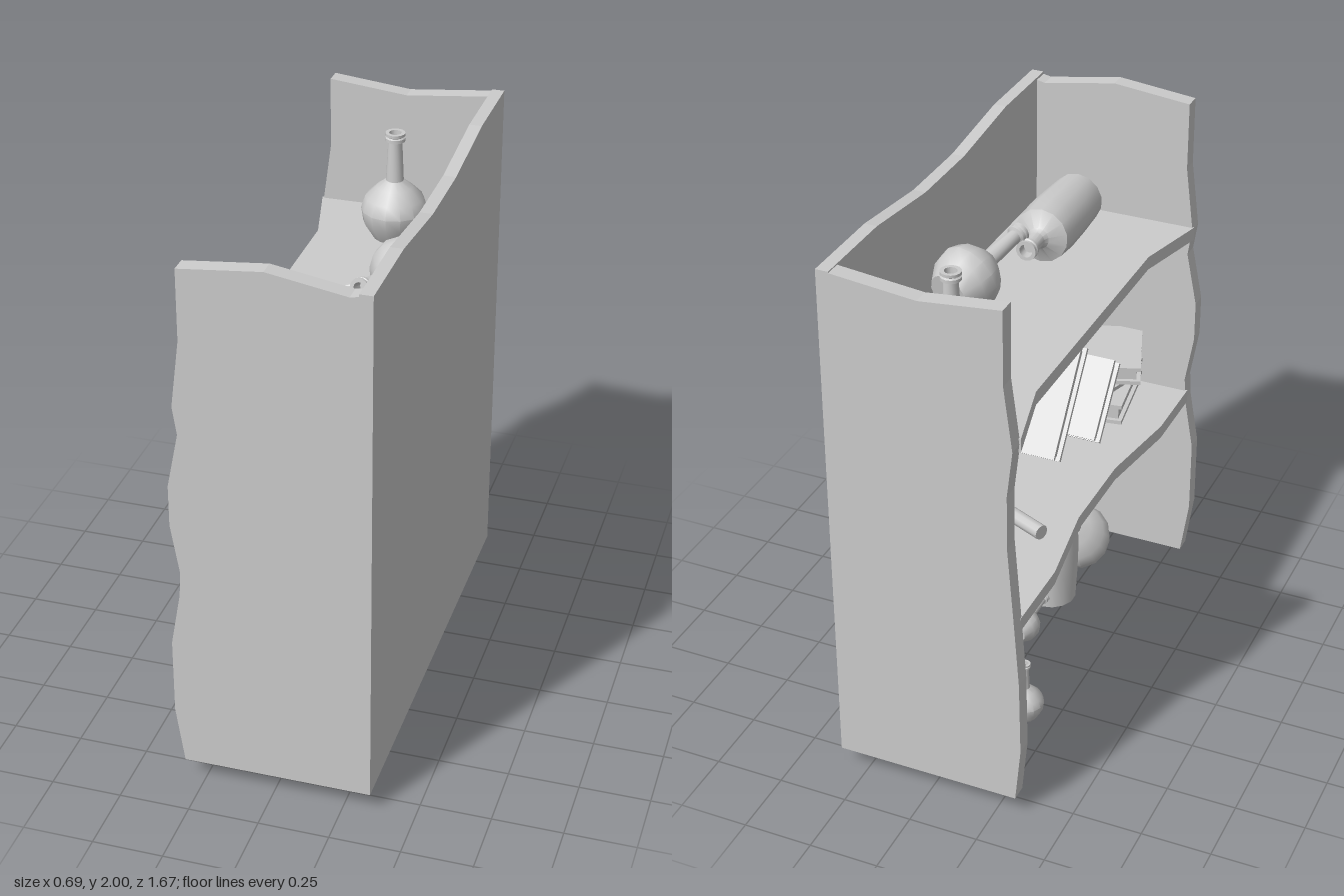
import * as THREE from 'three';
import { toCreasedNormals } from 'three/addons/utils/BufferGeometryUtils.js';

const material = new THREE.MeshStandardMaterial({ color: 0xcccccc });
const v2 = (points) => points.map(([x, y]) => new THREE.Vector2(x, y));

function add(parent, name, geometry) {
  const mesh = new THREE.Mesh(geometry, material);
  mesh.name = name;
  parent.add(mesh);
  return mesh;
}

function slab(points, depth) {
  return new THREE.ExtrudeGeometry(new THREE.Shape(v2(points)), { depth, bevelEnabled: false });
}

function turned(points, sides) {
  return toCreasedNormals(new THREE.LatheGeometry(v2(points), sides), 0.6);
}

// Round-bellied flask, standing on its origin
const flaskGeometry = turned([
  [0, 0], [0.075, 0], [0.112, 0.06], [0.12, 0.11], [0.105, 0.155], [0.065, 0.195],
  [0.032, 0.22], [0.025, 0.365], [0.036, 0.37], [0.036, 0.382], [0.03, 0.386],
  [0.036, 0.39], [0.036, 0.4], [0.022, 0.4], [0.02, 0.36], [0, 0.36],
], 14);

// Tall straight bottle, standing on its origin
const bottleGeometry = turned([
  [0, 0], [0.095, 0], [0.102, 0.13], [0.105, 0.25], [0.1, 0.34], [0.04, 0.365],
  [0.03, 0.38], [0.03, 0.44], [0.037, 0.445], [0.037, 0.455], [0.031, 0.46],
  [0.037, 0.465], [0.037, 0.475], [0.024, 0.475], [0.022, 0.44], [0, 0.44],
], 14);

// Places a vessel by its base centre and the direction its neck points
function vessel(parent, name, geometry, base, dir = [0, 1, 0], scale = 1) {
  const mesh = add(parent, name, geometry);
  mesh.position.set(...base);
  mesh.quaternion.setFromUnitVectors(new THREE.Vector3(0, 1, 0), new THREE.Vector3(...dir).normalize());
  mesh.scale.setScalar(scale);
}

// Closed book lying flat: two covers, a spine and an inset page block
function book(parent, [w, t, l], position, tilt, yaw) {
  const group = new THREE.Group();
  group.name = 'book';
  const cover = 0.015;
  for (const s of [-1, 1]) {
    add(group, 'bookCover', new THREE.BoxGeometry(w, cover, l)).position.y = s * (t - cover) / 2;
  }
  add(group, 'bookPages', new THREE.BoxGeometry(w - 0.03, t - 2 * cover, l - 0.03));
  add(group, 'bookSpine', new THREE.BoxGeometry(cover, t, l)).position.x = (w - cover) / 2;
  group.position.set(...position);
  group.rotation.set(tilt, yaw, 0);
  parent.add(group);
}

export function createModel() {
  const model = new THREE.Group();
  model.name = 'bookcase';

  // Wavy side panels
  const leftSide = [
    [0.345, 0.07], [0.345, 1.97], [0.27, 1.955], [0.15, 1.975], [0, 2], [-0.285, 1.97], [-0.285, 1.72],
    [-0.315, 1.48], [-0.3, 1.38], [-0.34, 1.18], [-0.34, 1.03], [-0.31, 0.85],
    [-0.315, 0.76], [-0.35, 0.56], [-0.35, 0.28], [-0.32, 0.07],
  ];
  const rightSide = [
    [0.345, 0.07], [0.345, 1.97], [0, 1.935], [-0.285, 1.965], [-0.285, 1.7], [-0.315, 1.47],
    [-0.295, 1.3], [-0.295, 1.1], [-0.318, 0.8], [-0.335, 0.56], [-0.34, 0.28], [-0.32, 0.07],
  ];
  add(model, 'sidePanel', slab(leftSide, 0.06)).position.z = 0.773;
  add(model, 'sidePanel', slab(rightSide, 0.06)).position.z = -0.833;

  // Back panel with a dipped top edge
  const back = slab([
    [-0.833, 0.07], [0.833, 0.07], [0.833, 1.97], [0.5, 1.97], [0.15, 1.93],
    [-0.15, 1.93], [-0.5, 1.97], [-0.833, 1.97],
  ], 0.045).rotateY(-Math.PI / 2);
  add(model, 'backPanel', back).position.x = 0.345;

  // Shelves with uneven front edges: [top height, front edge as (x, z)]
  const shelves = [
    [1.49, [[-0.32, -0.78], [-0.25, -0.5], [-0.25, 0.5], [-0.32, 0.78]]],
    [0.8, [[-0.32, -0.78], [-0.32, -0.5], [-0.27, -0.17], [-0.27, 0.17], [-0.32, 0.5], [-0.32, 0.78]]],
  ];
  for (const [top, edge] of shelves) {
    const shelf = slab([...edge, [0.305, 0.78], [0.305, -0.78]], 0.05).rotateX(Math.PI / 2);
    add(model, 'shelf', shelf).position.y = top;
  }

  // Top shelf: one standing flask, a fallen flask and a fallen bottle
  vessel(model, 'standingFlask', flaskGeometry, [0.025, 1.49, -0.54]);
  vessel(model, 'fallenFlask', flaskGeometry, [0.215, 1.575, -0.17], [-0.1, 0.08, 0.38]);
  vessel(model, 'fallenBottle', bottleGeometry, [0.08, 1.595, 0.635], [-0.01, 0.03, -1]);

  // Middle shelf: a stack, two leaning books and a scroll
  book(model, [0.26, 0.08, 0.3], [-0.03, 0.84, 0.58], 0, 0.15);
  book(model, [0.24, 0.07, 0.28], [-0.01, 0.915, 0.6], 0, -0.3);
  book(model, [0.27, 0.07, 0.31], [-0.05, 0.985, 0.61], 0, 0.35);
  book(model, [0.26, 0.08, 0.42], [0.05, 1.0, 0.21], -0.93, 0);
  book(model, [0.24, 0.08, 0.3], [-0.04, 0.945, 0.36], -0.9, 0);
  const scroll = add(model, 'scroll', new THREE.CylinderGeometry(0.027, 0.027, 0.4, 10));
  scroll.rotation.set(0, -0.42, Math.PI / 2);
  scroll.position.set(-0.02, 0.827, -0.26);

  // Bottom level
  vessel(model, 'leaningFlask', flaskGeometry, [0.06, 0.05, 0.68], [-0.08, 0.75, -0.62], 1.08);
  vessel(model, 'standingBottle', bottleGeometry, [0.04, 0.055, 0.32]);
  vessel(model, 'standingBottle', bottleGeometry, [0.14, 0.055, -0.27]);
  vessel(model, 'standingFlask', flaskGeometry, [0.11, 0.07, -0.6], [0, 1, 0], 1.05);
  vessel(model, 'smallFallenFlask', flaskGeometry, [0.03, 0.122, -0.05], [-0.1, 0.08, 1], 0.58);
  vessel(model, 'smallFlask', flaskGeometry, [-0.17, 0.07, -0.41], [0, 1, 0], 0.58);

  return model;
}
